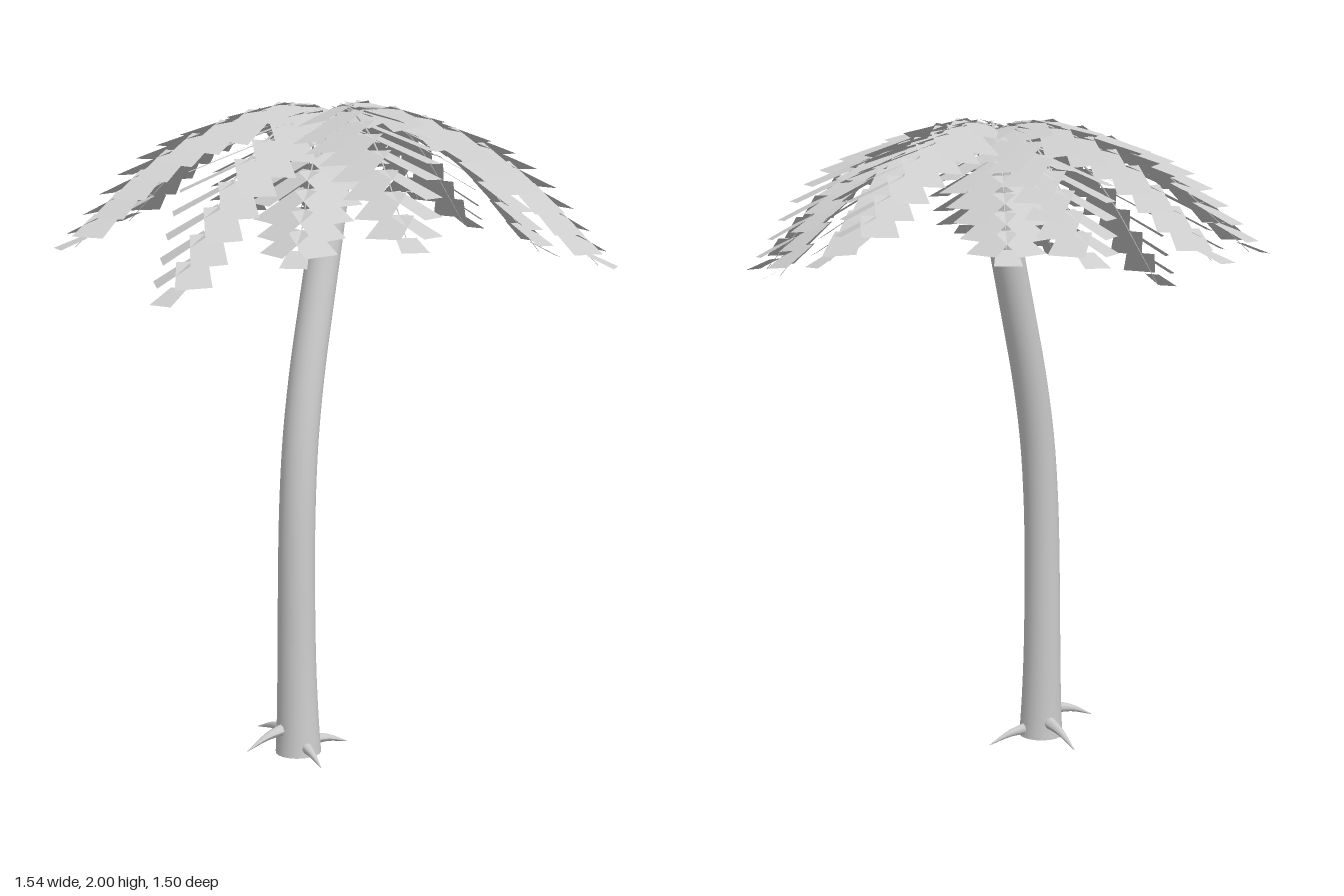
import * as THREE from 'three';
import { mergeGeometries } from 'three/addons/utils/BufferGeometryUtils.js';

const V = (x, y, z) => new THREE.Vector3(x, y, z);
const lerp = THREE.MathUtils.lerp;

// Tube along a curve whose radius follows radiusAt(u)
function taperedTube(curve, rings, sides, radiusAt) {
  const geo = new THREE.TubeGeometry(curve, rings, 1, sides, false);
  const pos = geo.attributes.position, p = V(0, 0, 0);
  for (let i = 0; i < pos.count; i++) {
    const u = Math.floor(i / (sides + 1)) / rings;
    const c = curve.getPointAt(u);
    p.fromBufferAttribute(pos, i).sub(c).multiplyScalar(radiusAt(u)).add(c);
    pos.setXYZ(i, p.x, p.y, p.z);
  }
  geo.computeVertexNormals();
  return geo;
}

// Flat leaflet that flares from its root to a square end
function leaflet(root, dir, normal, length, w0, w1) {
  const side = dir.clone().cross(normal).normalize();
  const end = root.clone().addScaledVector(dir, length);
  const corners = [
    root.clone().addScaledVector(side, -w0 / 2), root.clone().addScaledVector(side, w0 / 2),
    end.clone().addScaledVector(side, w1 / 2), end.clone().addScaledVector(side, -w1 / 2),
  ];
  const geo = new THREE.BufferGeometry().setFromPoints(corners);
  geo.setIndex([0, 1, 2, 0, 2, 3]);
  geo.computeVertexNormals();
  return geo;
}

// Leaflet length along the frond: widest about a third of the way out
const leafLength = (u) => (u < 0.32 ? lerp(0.04, 0.27, u / 0.32) : lerp(0.27, 0.09, (u - 0.32) / 0.68));

function frondParts(crown, tip, peak) {
  const at = (f, y) => V(lerp(crown.x, tip.x, f), y, lerp(crown.z, tip.z, f));
  const drop = peak - tip.y;
  const curve = new THREE.CatmullRomCurve3([
    crown.clone(), at(0.03, peak - 0.02), at(0.17, peak), at(0.4, peak - 0.12 * drop),
    at(0.58, peak - 0.29 * drop), at(0.72, peak - 0.49 * drop), at(0.87, peak - 0.76 * drop), tip,
  ]);
  // Leaflets lie flatter than the rib, so each one overlaps the next like a shingle
  const frame = (u) => {
    const t = curve.getTangentAt(u);
    t.y *= t.y > 0 ? 0.1 : 0.42;
    t.normalize();
    const s = t.clone().cross(V(0, 1, 0)).normalize();
    return { p: curve.getPointAt(u), t, s, n: s.clone().cross(t).normalize() };
  };
  const leaves = [];
  const pairs = 9;
  for (let i = 0; i < pairs; i++) {
    const u = lerp(0.13, 0.87, i / (pairs - 1));
    const { p, t, s, n } = frame(u);
    const a = lerp(0.9, 0.6, u), droop = 0.32;
    for (const k of [-1, 1]) {
      const dir = t.clone().multiplyScalar(Math.cos(a))
        .addScaledVector(s, k * Math.sin(a)).addScaledVector(n, -droop * Math.sin(a)).normalize();
      const normal = n.clone().addScaledVector(s, k * droop).normalize();
      leaves.push(leaflet(p, dir, normal, leafLength(u), 0.09, 0.105));
    }
  }
  // Single leaflet closing the tip
  const e = frame(0.96);
  leaves.push(leaflet(e.p, e.t, e.n, 0.09, 0.06, 0.08));
  return { leaves: mergeGeometries(leaves), rib: taperedTube(curve, 20, 5, (u) => lerp(0.005, 0.001, u)) };
}

export function createModel() {
  const grey = new THREE.MeshStandardMaterial({ color: 0xcccccc, side: THREE.DoubleSide });
  grey.name = 'light grey';
  const model = new THREE.Group();
  model.name = 'palmTree';
  const add = (geo, name, parent = model) => {
    const mesh = new THREE.Mesh(geo, grey);
    mesh.name = name;
    parent.add(mesh);
  };

  // Curved trunk, flared at the foot
  const trunk = new THREE.CatmullRomCurve3([
    V(-0.13, 0.015, 0.143), V(-0.13, 0.3, 0.134), V(-0.127, 0.6, 0.128), V(-0.119, 0.8, 0.121),
    V(-0.099, 1.0, 0.107), V(-0.061, 1.2, 0.083), V(-0.01, 1.4, 0.053), V(0.043, 1.6, 0.022), V(0.108, 1.86, -0.016),
  ]);
  add(taperedTube(trunk, 32, 20, (u) => lerp(0.059, 0.051, u) + 0.012 * Math.pow(1 - u, 10)), 'trunk');

  // Pointed roots around the foot: tips and starting heights
  const foot = V(-0.13, 0, 0.14);
  const roots = [
    [V(-0.32, 0.055, 0.155), 0.1], [V(0.06, 0.005, 0.125), 0.045],
    [V(-0.15, 0.02, 0.31), 0.05], [V(-0.14, 0.025, -0.09), 0.07],
  ];
  for (const [tip, y] of roots) {
    const at = (f, h) => V(lerp(foot.x, tip.x, f), h, lerp(foot.z, tip.z, f));
    const curve = new THREE.CatmullRomCurve3([at(0.2, y), at(0.6, lerp(y, tip.y, 0.3)), tip]);
    add(taperedTube(curve, 8, 8, (u) => lerp(0.022, 0.001, u)), 'root');
  }

  // Crown of arching fronds: tip x, y, z and peak height
  const crown = V(0.1, 1.86, -0.025);
  const fronds = [
    [-0.27, 1.6, -0.69, 1.985], [0.08, 1.6, -0.62, 1.975], [0.28, 1.61, -0.52, 1.955],
    [0.67, 1.65, -0.4, 1.985], [0.66, 1.59, -0.12, 1.99], [0.7, 1.53, 0.23, 1.97],
    [0.63, 1.53, 0.6, 1.98], [-0.1, 1.63, 0.68, 1.99], [-0.28, 1.58, 0.39, 1.95],
    [-0.59, 1.47, 0.23, 1.97], [-0.71, 1.59, -0.155, 1.99],
  ];
  for (const [x, y, z, peak] of fronds) {
    const frond = new THREE.Group();
    frond.name = 'frond';
    const { leaves, rib } = frondParts(crown, V(x, y, z), peak);
    add(leaves, 'leaflets', frond);
    add(rib, 'frondRib', frond);
    model.add(frond);
  }
  return model;
}
